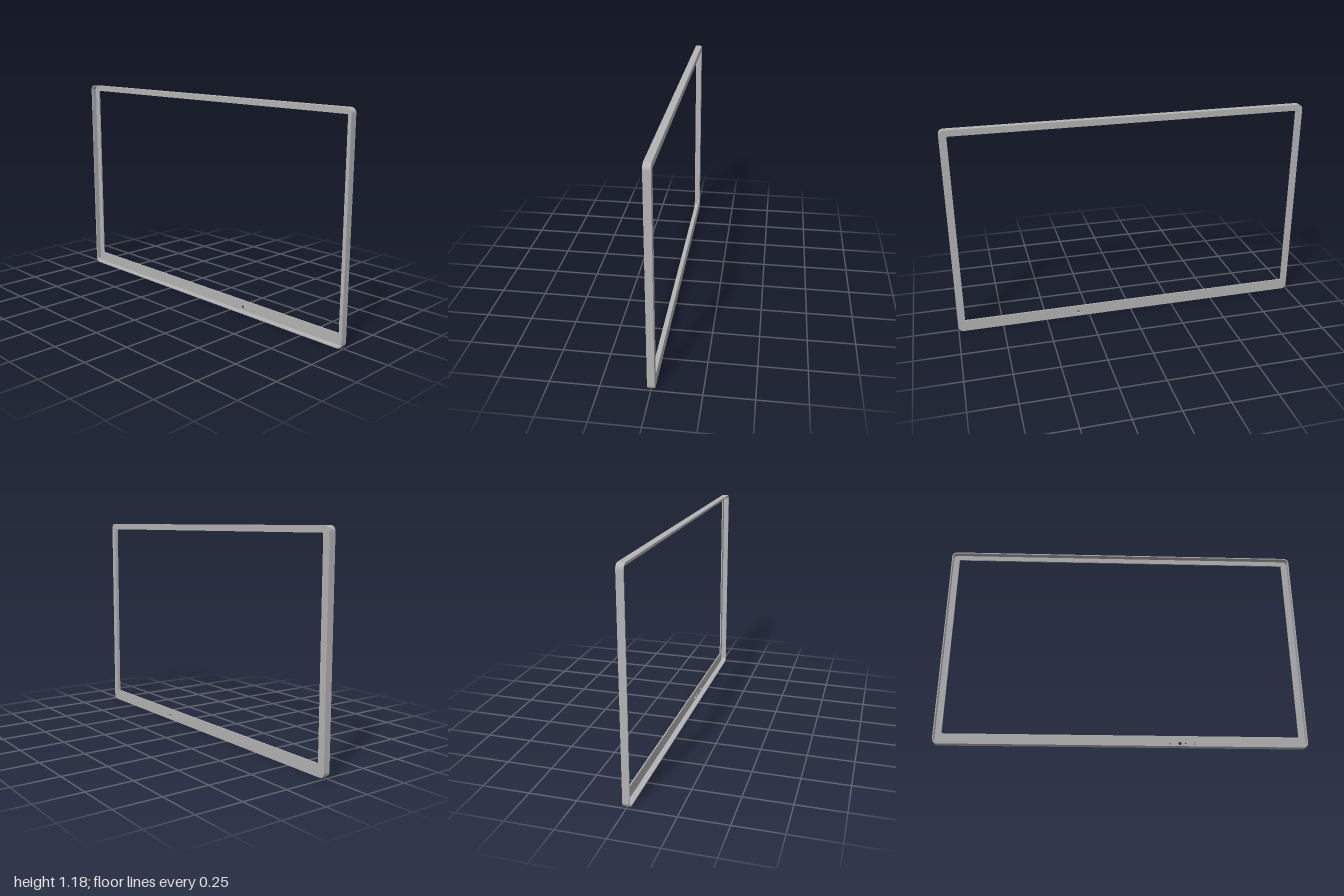
import * as THREE from 'three';

const W = 2, H = 1.176, DEPTH = 0.037, WALL = 0.006, PLATE = 0.007, RADIUS = 0.028;

// Rounded rectangle traced on a Shape or Path
function roundedRect(target, x0, y0, x1, y1, r) {
  target.moveTo(x0 + r, y0);
  target.lineTo(x1 - r, y0);
  target.absarc(x1 - r, y0 + r, r, -Math.PI / 2, 0, false);
  target.lineTo(x1, y1 - r);
  target.absarc(x1 - r, y1 - r, r, 0, Math.PI / 2, false);
  target.lineTo(x0 + r, y1);
  target.absarc(x0 + r, y1 - r, r, Math.PI / 2, Math.PI, false);
  target.lineTo(x0, y0 + r);
  target.absarc(x0 + r, y0 + r, r, Math.PI, Math.PI * 1.5, false);
  return target;
}

function roundHole(x, y, r) {
  const path = new THREE.Path();
  path.absarc(x, y, r, 0, Math.PI * 2, true);
  return path;
}

export function createModel() {
  const group = new THREE.Group();
  group.name = 'displayBezel';
  const grey = new THREE.MeshStandardMaterial({ color: 0xb4b4b4 });
  grey.name = 'grey';

  const add = (name, geometry) => {
    const mesh = new THREE.Mesh(geometry, grey);
    mesh.name = name;
    group.add(mesh);
    return mesh;
  };
  const extrude = (shape, depth, z) =>
    new THREE.ExtrudeGeometry(shape, { depth, bevelEnabled: false, curveSegments: 10 }).translate(0, 0, z);

  // Face plate with the screen opening and two small sensor holes
  const plate = roundedRect(new THREE.Shape(), -W / 2, 0, W / 2, H, RADIUS);
  const opening = new THREE.Path();
  opening.moveTo(-0.96, 0.066);
  opening.lineTo(-0.96, 1.142);
  opening.lineTo(0.96, 1.142);
  opening.lineTo(0.96, 0.066);
  opening.closePath();
  plate.holes.push(opening, roundHole(0.315, 0.025, 0.009), roundHole(0.345, 0.025, 0.004));
  add('facePlate', extrude(plate, PLATE, -DEPTH / 2));

  // Thin rim wall standing forward from the plate edge
  const rim = roundedRect(new THREE.Shape(), -W / 2, 0, W / 2, H, RADIUS);
  rim.holes.push(roundedRect(new THREE.Path(), -W / 2 + WALL, WALL, W / 2 - WALL, H - WALL, RADIUS - WALL));
  add('rimWall', extrude(rim, DEPTH - PLATE, -DEPTH / 2 + PLATE));

  // Small hollow mounting studs either side of the sensor holes
  for (const x of [0.26, 0.395]) {
    const ring = new THREE.Shape();
    ring.absarc(x, 0.025, 0.006, 0, Math.PI * 2, false);
    ring.holes.push(roundHole(x, 0.025, 0.003));
    add('mountingStud', extrude(ring, 0.012, -DEPTH / 2 + PLATE));
  }
  return group;
}
